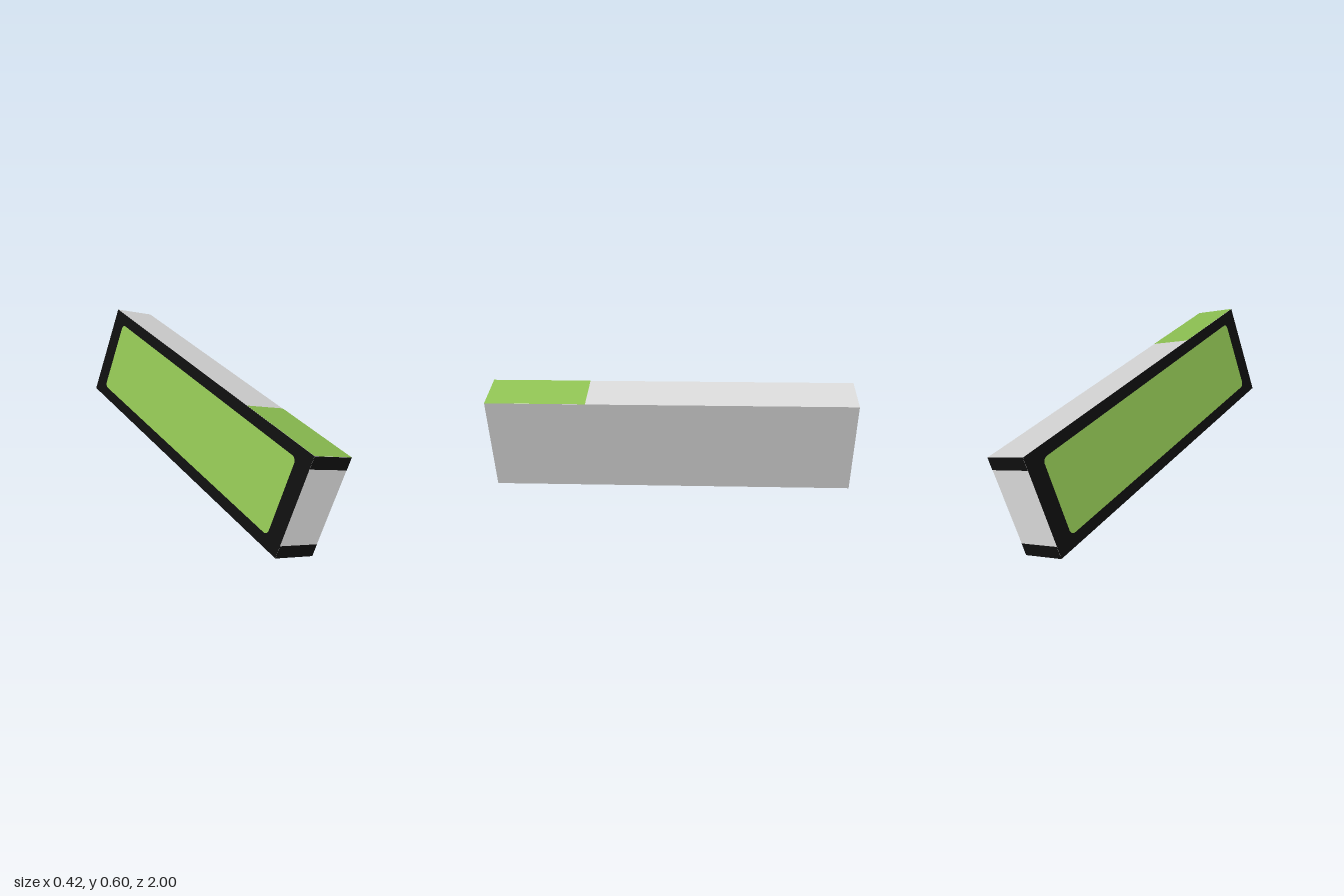
import * as THREE from 'three';

const W = 0.243, H = 0.546, D = 2, BAND = 0.068, LIFT = 0.001;

function material(name, color) {
  const m = new THREE.MeshStandardMaterial({ color });
  m.name = name;
  return m;
}

// Rectangle with rounded corners, centred on the origin
function roundedRect(w, h, r) {
  const s = new THREE.Shape();
  const x = w / 2 - r, y = h / 2 - r;
  s.absarc(x, y, r, 0, Math.PI / 2);
  s.absarc(-x, y, r, Math.PI / 2, Math.PI);
  s.absarc(-x, -y, r, Math.PI, Math.PI * 1.5);
  s.absarc(x, -y, r, Math.PI * 1.5, Math.PI * 2);
  return s;
}

export function createModel() {
  const grey = material('light grey', 0xd6d6d6);
  const black = material('black', 0x0e0e0e);
  const green = material('green', 0x8ec152);

  const model = new THREE.Group();
  model.name = 'tiltedSlab';
  const slab = new THREE.Group();
  slab.name = 'slab';
  slab.rotation.z = -0.356;
  slab.position.y = 0.299;
  model.add(slab);

  const add = (name, geometry, mat, x = 0, y = 0, z = 0) => {
    const mesh = new THREE.Mesh(geometry, mat);
    mesh.name = name;
    mesh.position.set(x, y, z);
    slab.add(mesh);
    return mesh;
  };

  // Grey slab whose right face is a black frame
  add('body', new THREE.BoxGeometry(W, H, D), [grey, black, grey, grey, grey, grey]);

  // Black bands across the top and bottom of both ends
  for (const end of [1, -1]) {
    for (const side of [1, -1]) {
      const band = add(`${end > 0 ? 'front' : 'back'}${side > 0 ? 'Top' : 'Bottom'}Band`,
        new THREE.PlaneGeometry(W, BAND), black,
        0, side * (H - BAND) / 2, end * (D / 2 + LIFT));
      if (end < 0) band.rotation.y = Math.PI;
    }
  }

  // Green patch on the front part of the top
  const patch = 0.545;
  add('topPatch', new THREE.PlaneGeometry(W, patch).rotateX(-Math.PI / 2), green,
    0, H / 2 + LIFT, (D - patch) / 2);

  // Rounded green panel inside the black frame
  add('sidePanel', new THREE.ShapeGeometry(roundedRect(1.79, 0.42, 0.03), 8).rotateY(-Math.PI / 2),
    green, -W / 2 - LIFT, 0, 0.003);

  return model;
}
